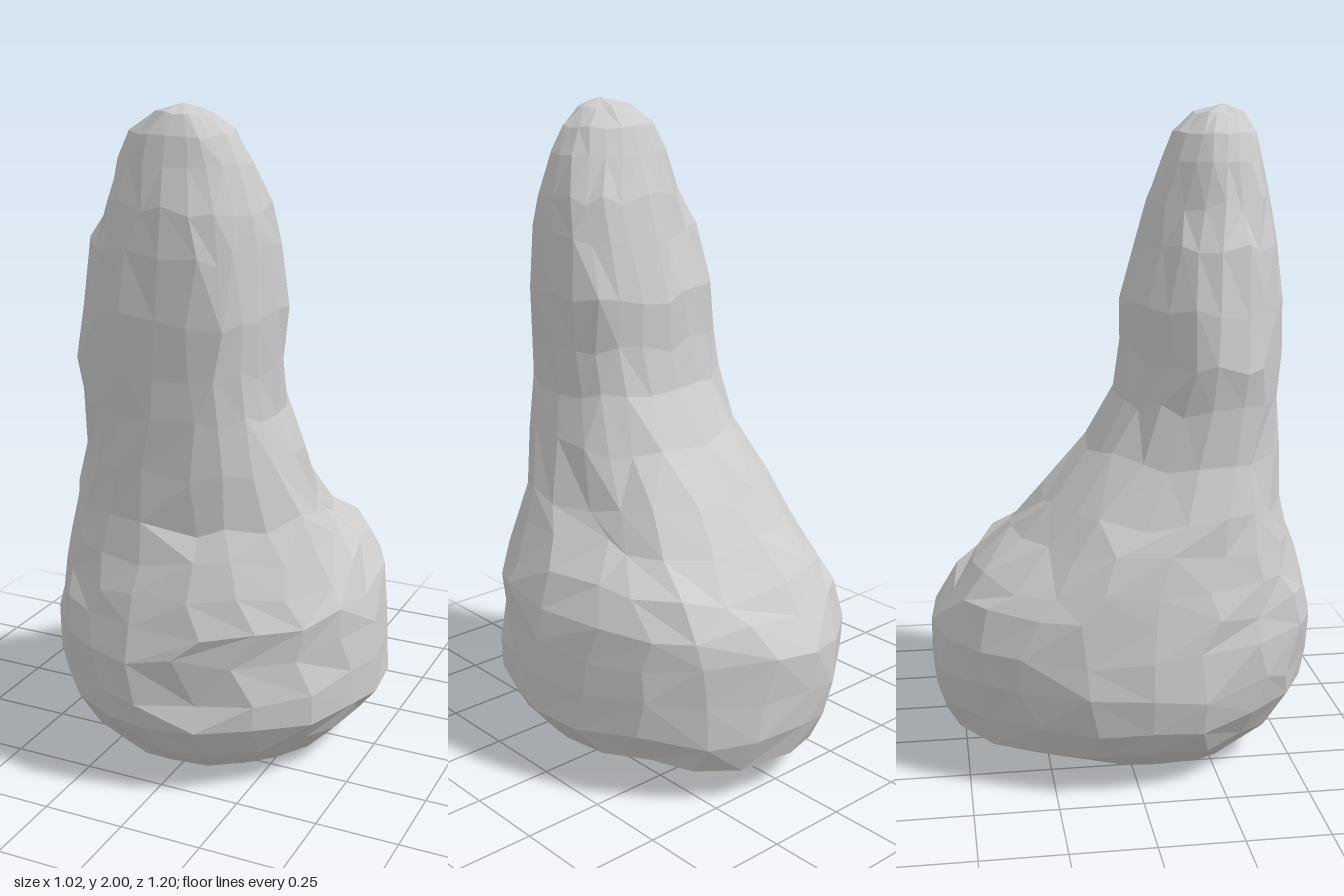
import * as THREE from 'three';

// Squareness of each quarter: left front, right front, right back, left back
const BASE = [1.9, 2.0, 1.9, 2.0];
const SLOPE = [2.2, 2.1, 2.1, 2.6];
const NECK = [2.7, 2.1, 1.85, 2.6];
const COLUMN = [2.7, 2.05, 1.75, 2.5];
const TIP = [2.3, 2.0, 1.9, 2.2];

// Horizontal sections: y, right x, left x, back z, front z, centre x, centre z, squareness
const SECTIONS = [
  [0.015, -0.28, 0.24, -0.12, 0.36, -0.02, 0.15, BASE],
  [0.05, -0.36, 0.37, -0.32, 0.44, 0.0, 0.06, BASE],
  [0.12, -0.43, 0.45, -0.56, 0.51, 0.0, 0.03, BASE],
  [0.21, -0.49, 0.51, -0.59, 0.57, -0.02, 0.03, BASE],
  [0.32, -0.51, 0.51, -0.60, 0.59, -0.04, 0.03, BASE],
  [0.44, -0.50, 0.50, -0.60, 0.60, -0.06, 0.03, BASE],
  [0.54, -0.48, 0.48, -0.53, 0.575, -0.06, 0.04, SLOPE],
  [0.62, -0.465, 0.455, -0.47, 0.55, -0.06, 0.05, SLOPE],
  [0.72, -0.44, 0.405, -0.35, 0.52, -0.05, 0.09, SLOPE],
  [0.82, -0.41, 0.355, -0.25, 0.49, -0.06, 0.14, SLOPE],
  [0.98, -0.36, 0.29, -0.11, 0.48, -0.06, 0.18, NECK],
  [1.14, -0.355, 0.25, -0.02, 0.48, -0.03, 0.22, NECK],
  [1.27, -0.37, 0.25, 0.0, 0.48, -0.02, 0.23, COLUMN],
  [1.42, -0.35, 0.255, 0.0, 0.48, -0.01, 0.24, COLUMN],
  [1.60, -0.31, 0.24, 0.05, 0.475, 0.0, 0.25, COLUMN],
  [1.72, -0.25, 0.22, 0.08, 0.455, 0.0, 0.27, COLUMN],
  [1.84, -0.21, 0.18, 0.13, 0.42, -0.01, 0.28, TIP],
  [1.92, -0.17, 0.135, 0.16, 0.40, -0.01, 0.29, TIP],
  [1.975, -0.09, 0.07, 0.22, 0.37, 0.0, 0.30, TIP],
];
const SIDES = 20;

// Hollows: centre, radius, depth of the inward push
const HOLLOWS = [
  [new THREE.Vector3(0.36, 0.73, -0.1), 0.17, 0.09],
  [new THREE.Vector3(0.17, 0.36, 0.54), 0.09, 0.05],
  [new THREE.Vector3(-0.25, 0.7, -0.25), 0.12, 0.02],
];

function seeded(seed) {
  return () => {
    seed = (seed * 16807) % 2147483647;
    return seed / 2147483647 - 0.5;
  };
}

function stoneGeometry() {
  const rand = seeded(421);
  const rings = SECTIONS.map(([y, x0, x1, z0, z1, cx, cz, squareness]) => {
    const ring = [];
    const middle = y > 0.1 && y < 1.8;
    for (let i = 0; i < SIDES; i++) {
      const quarter = Math.floor((i / SIDES) * 4);
      const extreme = i % (SIDES / 4) === 0;
      const a = (i / SIDES) * Math.PI * 2 + (extreme ? 0 : rand() * 0.14);
      const c = Math.cos(a), s = Math.sin(a);
      const n = squareness[quarter];
      const px = Math.sign(c) * Math.abs(c) ** (2 / n);
      const pz = Math.sign(s) * Math.abs(s) ** (2 / n);
      const p = new THREE.Vector3(
        cx + px * (c > 0 ? x1 - cx : cx - x0),
        y + rand() * (middle ? 0.04 : 0.01),
        cz + pz * (s > 0 ? z1 - cz : cz - z0)
      );
      // Press in the hollows
      for (const [centre, radius, depth] of HOLLOWS) {
        const push = depth * Math.exp(-((p.distanceTo(centre) / radius) ** 2));
        p.x -= c * push;
        p.z -= s * push;
      }
      // Slight chipping of the surface
      const chip = extreme ? 0 : rand() * (middle ? 0.014 : 0.006);
      p.x += c * chip;
      p.z += s * chip;
      ring.push(p);
    }
    return ring;
  });

  // Skin between the sections, with varied diagonals, and closed ends
  const tris = [];
  const bottom = new THREE.Vector3(0, 0, 0.2);
  const top = new THREE.Vector3(0, 2, 0.31);
  const last = rings.length - 1;
  for (let i = 0; i < SIDES; i++) {
    const j = (i + 1) % SIDES;
    for (let r = 0; r < last; r++) {
      const a = rings[r][j], b = rings[r][i], c = rings[r + 1][i], d = rings[r + 1][j];
      if (rand() > 0) tris.push(a, b, c, a, c, d);
      else tris.push(a, b, d, b, c, d);
    }
    tris.push(rings[0][i], rings[0][j], bottom);
    tris.push(rings[last][j], rings[last][i], top);
  }
  const geometry = new THREE.BufferGeometry().setFromPoints(tris);
  geometry.computeVertexNormals();
  return geometry;
}

export function createModel() {
  const group = new THREE.Group();
  group.name = 'standingRock';
  const material = new THREE.MeshStandardMaterial({ color: 0xcccccc, flatShading: true });
  const rock = new THREE.Mesh(stoneGeometry(), material);
  rock.name = 'rock';
  group.add(rock);
  return group;
}
